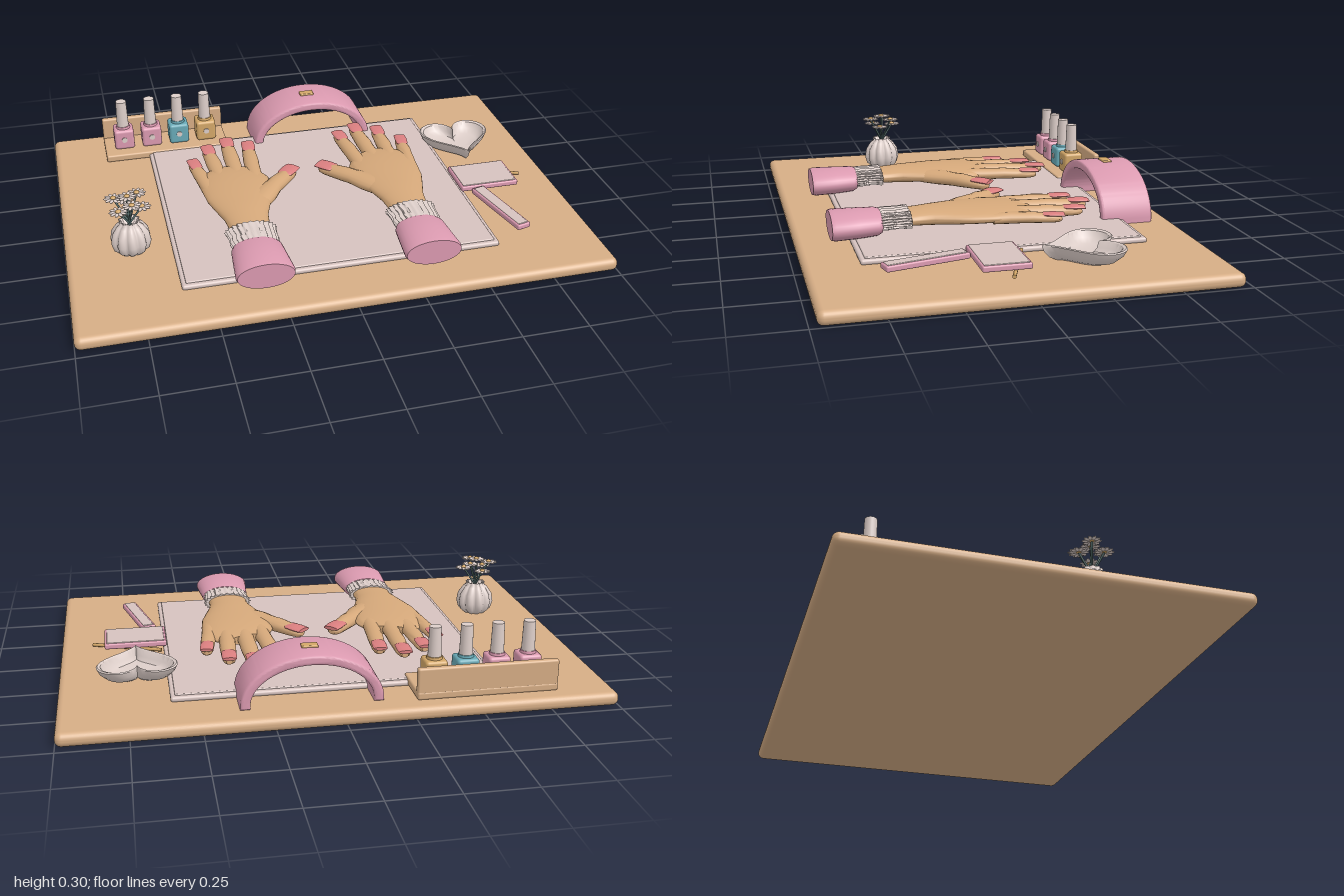
import * as THREE from 'three';
import { toCreasedNormals } from 'three/addons/utils/BufferGeometryUtils.js';
import { RoundedBoxGeometry } from 'three/addons/geometries/RoundedBoxGeometry.js';

const mat = (name, color) => Object.assign(new THREE.MeshStandardMaterial({ color }), { name });
const M = {
  wood: mat('wood', 0xd6ad85), skin: mat('skin', 0xd5a87a), mat: mat('matGrey', 0xd6c2be),
  pink: mat('pink', 0xdb9ab0), nail: mat('nailRed', 0xdb7f80), white: mat('cream', 0xddcec9),
  teal: mat('teal', 0x68a9b6), stem: mat('stemGreen', 0x58706f), gold: mat('gold', 0xd3a768),
};

function add(parent, name, geo, material, x = 0, y = 0, z = 0) {
  const m = new THREE.Mesh(geo, material);
  m.name = name;
  m.position.set(x, y, z);
  parent.add(m);
  return m;
}
function group(parent, name) {
  const g = new THREE.Group();
  g.name = name;
  parent.add(g);
  return g;
}
const rbox = (w, h, d, r) => new RoundedBoxGeometry(w, h, d, 3, r);

// Skin a list of closed rings (arrays of Vector3) and close both ends
function skin(rings, crease = 0.9) {
  const n = rings[0].length, pos = [], idx = [];
  rings.forEach(r => r.forEach(p => pos.push(p.x, p.y, p.z)));
  for (let i = 0; i < rings.length - 1; i++) for (let j = 0; j < n; j++) {
    const a = i * n + j, b = i * n + (j + 1) % n, c = a + n, d = b + n;
    idx.push(a, b, c, b, d, c);
  }
  [0, rings.length - 1].forEach((ri, end) => {
    const c = rings[ri].reduce((s, p) => s.add(p), new THREE.Vector3()).divideScalar(n);
    const k = pos.length / 3;
    pos.push(c.x, c.y, c.z);
    for (let j = 0; j < n; j++) {
      const a = ri * n + j, b = ri * n + (j + 1) % n;
      if (end) idx.push(k, a, b); else idx.push(k, b, a);
    }
  });
  const g = new THREE.BufferGeometry();
  g.setAttribute('position', new THREE.Float32BufferAttribute(pos, 3));
  g.setIndex(idx);
  return toCreasedNormals(g, crease);
}

// Elliptical sections [x, y, z, halfWidth, halfHeight] along a nearly level path
function loft(secs, n = 20, wave = () => 1, crease) {
  const P = secs.map(s => new THREE.Vector3(s[0], s[1], s[2]));
  const up = new THREE.Vector3(0, 1, 0);
  return skin(secs.map((s, i) => {
    const t = P[Math.min(i + 1, P.length - 1)].clone().sub(P[Math.max(i - 1, 0)]).setY(0).normalize();
    const side = up.clone().cross(t);
    return Array.from({ length: n }, (_, j) => {
      const a = j / n * Math.PI * 2, w = wave(a, i);
      return P[i].clone().addScaledVector(side, Math.cos(a) * s[3] * w)
        .addScaledVector(up, Math.sin(a) * s[4] * w);
    });
  }), crease);
}

function rod(parent, name, a, b, r, material) {
  const A = new THREE.Vector3(...a), B = new THREE.Vector3(...b), d = B.clone().sub(A);
  const m = add(parent, name, new THREE.CylinderGeometry(r, r, d.length(), 8), material);
  m.position.copy(A).lerp(B, 0.5);
  m.quaternion.setFromUnitVectors(new THREE.Vector3(0, 1, 0), d.normalize());
}

function hand(root, s, name) {
  const g = group(root, name);
  const flip = secs => secs.map(([x, ...r]) => [x * s, ...r]);
  add(g, 'sleeve', loft(flip([[.313, .115, .6, .105, .05], [.313, .115, .585, .109, .054], [.313, .116, .5, .102, .052],
    [.313, .118, .43, .096, .048], [.313, .12, .415, .088, .042]]), 32), M.pink);
  add(g, 'laceCuff', loft(flip([[.313, .125, .42, .083, .034], [.313, .126, .39, .088, .036], [.313, .127, .36, .086, .034],
    [.313, .127, .33, .09, .035], [.313, .127, .308, .094, .037]]), 96,
    (a, i) => 1 + 0.07 * Math.cos(24 * a + (i % 2) * 0.9)), M.white);
  add(g, 'palm', loft(flip([[.312, .128, .33, .08, .03], [.312, .128, .28, .078, .031], [.312, .13, .22, .086, .034],
    [.311, .13, .15, .108, .034], [.312, .13, .08, .127, .033], [.31, .13, 0, .138, .031], [.305, .129, -.07, .137, .027],
    [.295, .128, -.11, .118, .023], [.285, .127, -.145, .08, .018]]), 32), M.skin);
  // base x, base z, tip x, tip z, radius
  [['pinky', .418, -.02, .449, -.25, .028], ['ring', .357, -.06, .373, -.355, .031],
    ['middle', .29, -.07, .283, -.4, .032], ['index', .225, -.05, .198, -.35, .031],
    ['thumb', .235, .1, .057, -.102, .037]].forEach(([n, x0, z0, x1, z1, r]) => {
    const at = (t, y, w, h) => [x0 + (x1 - x0) * t, y, z0 + (z1 - z0) * t, r * w, r * h];
    const fat = n === 'thumb' ? 1.45 : 1.08;
    add(g, n + 'Finger', loft(flip([at(-.12, .127, fat, .75), at(.15, .128, fat * .97, .78), at(.4, .127, 1, .72), at(.52, .127, 1.03, .74),
      at(.7, .124, .94, .66), at(.85, .122, .88, .6), at(.94, .12, .72, .48), at(.985, .119, .4, .28)]), 16), M.skin);
    const L = Math.hypot(x1 - x0, z1 - z0), t = d => 1 + d / L;
    add(g, n + 'Nail', loft(flip([at(t(-.078), .138, .55, .15), at(t(-.068), .138, .85, .22), at(t(-.03), .137, .92, .25),
      at(t(.005), .135, .86, .2)]), 16, undefined, 0.6), M.nail);
  });
}

function heartDish(root) {
  const ring = (k, y) => Array.from({ length: 48 }, (_, j) => {
    const t = j / 48 * Math.PI * 2;
    const h = 13 * Math.cos(t) - 5 * Math.cos(2 * t) - 2 * Math.cos(3 * t) - Math.cos(4 * t) + 2.5;
    return new THREE.Vector3(.71 - k * .0094 * 16 * Math.sin(t) ** 3, y, -.228 - k * .0098 * h);
  });
  add(root, 'heartDish', skin([ring(.6, .053), ring(.78, .063), ring(.93, .085), ring(1, .108), ring(.97, .112),
    ring(.9, .108), ring(.82, .085), ring(.66, .07), ring(.3, .067)], 0.7), M.white);
}

function polishRack(root) {
  const g = group(root, 'polishRack');
  add(g, 'rackBase', rbox(.524, .03, .195, .008), M.wood, -.524, .066, -.563);
  add(g, 'rackBack', rbox(.524, .115, .026, .008), M.wood, -.524, .113, -.646);
  [M.pink, M.pink, M.teal, M.gold].forEach((m, i) => {
    const b = group(g, 'polishBottle');
    b.position.set(-.702 + i * .118, .08, -.556);
    add(b, 'bottleBody', rbox(.084, .088, .084, .012), m, 0, .044, 0);
    add(b, 'bottleNeck', new THREE.CylinderGeometry(.028, .03, .012, 20), m, 0, .092, 0);
    add(b, 'bottleCap', new THREE.CylinderGeometry(.022, .025, .115, 20), M.white, 0, .153, 0);
    add(b, 'bottleDot', new THREE.CylinderGeometry(.012, .012, .004, 12), M.white, 0, .045, .043).rotation.x = Math.PI / 2;
  });
}

function lamp(root) {
  const g = group(root, 'nailLamp');
  g.position.set(.111, .062, -.541);
  const arch = (rx, ry, t, depth, bevel) => {
    const s = new THREE.Shape();
    s.absellipse(0, 0, rx, ry, 0, Math.PI, false);
    s.lineTo(-rx + t, 0);
    s.absellipse(0, 0, rx - t, ry - t, Math.PI, 0, true);
    s.closePath();
    const geo = new THREE.ExtrudeGeometry(s, { depth, curveSegments: 32, bevelEnabled: bevel > 0,
      bevelSize: bevel, bevelThickness: bevel, bevelSegments: 3 });
    return toCreasedNormals(geo.translate(0, 0, -depth / 2), 0.6);
  };
  add(g, 'lampShell', arch(.247, .168, .016, .184, .01), M.pink);
  add(g, 'lampButton', rbox(.06, .012, .036, .004), M.gold, -.004, .179, 0);
  add(g, 'lampLight', rbox(.16, .008, .1, .003), M.white, 0, .138, 0);
}

function vase(root) {
  const g = group(root, 'flowerVase');
  g.position.set(-.753, .052, .225);
  const prof = [[0, 0], [.045, 0], [.068, .02], [.076, .05], [.07, .085], [.05, .115], [.036, .125], [.04, .135],
    [.032, .133], [.028, .115], [0, .1]].map(p => new THREE.Vector2(...p));
  const geo = new THREE.LatheGeometry(prof, 80), p = geo.attributes.position;
  // Press ten ribs into the body
  for (let i = 0; i < p.count; i++) {
    const k = .86 + .16 * Math.abs(Math.sin(5 * Math.atan2(p.getZ(i), p.getX(i))));
    p.setXYZ(i, p.getX(i) * k, p.getY(i), p.getZ(i) * k);
  }
  geo.computeVertexNormals();
  add(g, 'vaseBody', geo, M.white);
  const petal = new THREE.SphereGeometry(1, 8, 6), heart = new THREE.SphereGeometry(.011, 10, 8);
  for (let i = 0; i < 7; i++) {
    const a = i * Math.PI / 3 + .3, r = i < 6 ? .052 : 0;
    const x = r * Math.cos(a), z = r * Math.sin(a), y = i === 6 ? .235 : i % 2 ? .225 : .195;
    rod(g, 'stem', [-x * .25, .1, -z * .25], [x, y, z], .004, M.stem);
    const f = group(g, 'flower');
    f.position.set(x, y, z);
    add(f, 'flowerCentre', heart, M.gold, 0, .003, 0).scale.y = .6;
    for (let j = 0; j < 10; j++) {
      const b = j * Math.PI / 5, m = add(f, 'petal', petal, M.white, .022 * Math.cos(b), 0, -.022 * Math.sin(b));
      m.scale.set(.014, .004, .007);
      m.rotation.y = b;
    }
  }
}

// Thin pad with a pink body and a pale face
function pad(root, name, w, d, x, z, turn) {
  const g = group(root, name);
  g.position.set(x, 0, z);
  g.rotation.y = turn;
  add(g, name + 'Body', rbox(w, .022, d, .006), M.pink, 0, .082, 0);
  add(g, name + 'Face', rbox(w - .016, .008, d - .016, .003), M.mat, 0, .092, 0);
}

export function createModel() {
  const root = new THREE.Group();
  root.name = 'manicureTable';
  add(root, 'tableBoard', rbox(2, .052, 1.45, .024), M.wood, 0, .026, 0);
  add(root, 'matBase', rbox(1.207, .02, 1.055, .009), M.mat, -.002, .06, .002);
  add(root, 'matTop', rbox(1.175, .01, 1.02, .004), M.mat, -.002, .07, .002);
  hand(root, 1, 'leftHand');
  hand(root, -1, 'rightHand');
  heartDish(root);
  polishRack(root);
  lamp(root);
  vase(root);
  pad(root, 'buffer', .241, .176, .709, .068, 0);
  pad(root, 'nailFile', .058, .315, .687, .318, .24);
  rod(root, 'cuticleStick', [.61, .066, -.043], [.875, .066, .06], .007, M.gold);
  return root;
}
